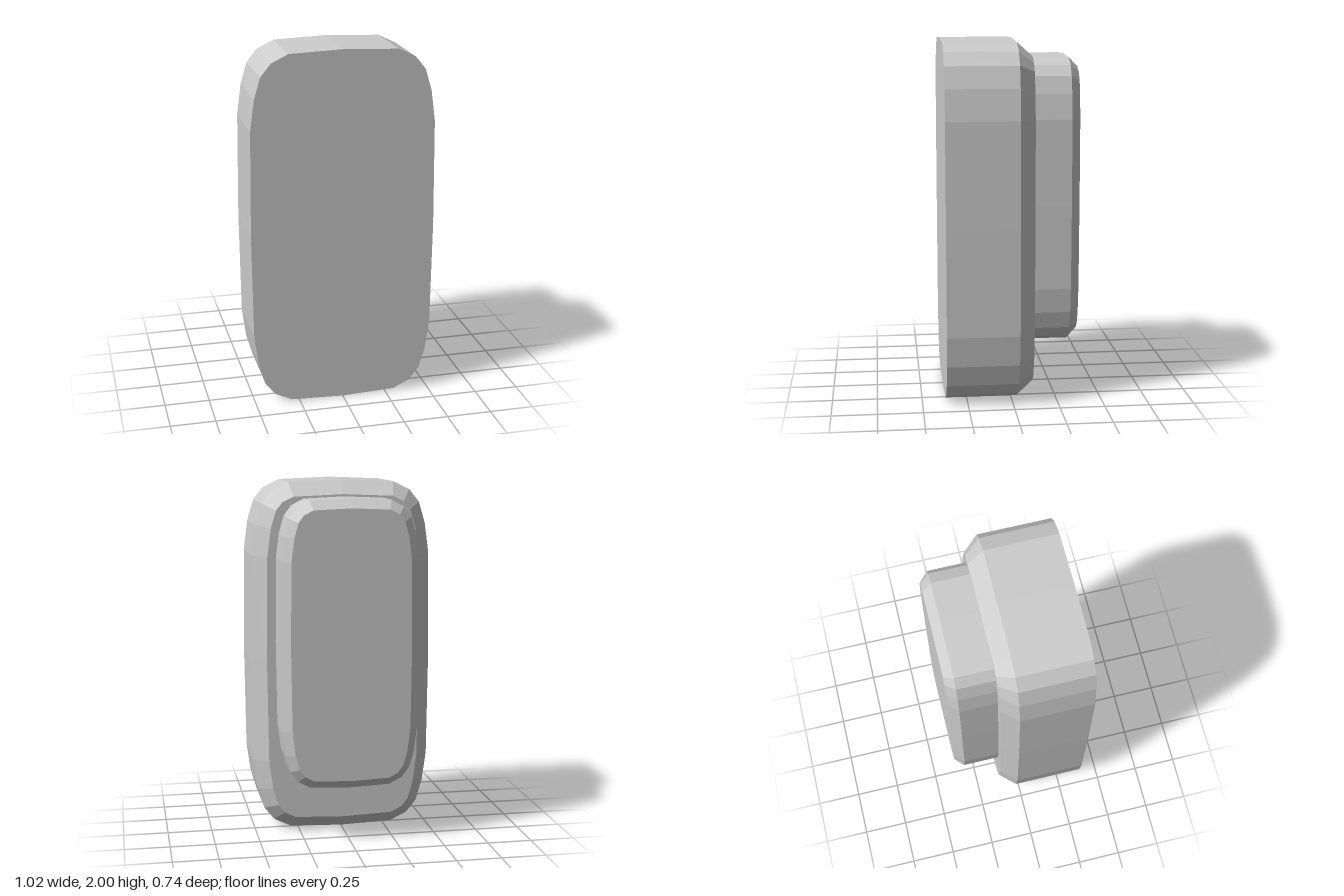
import * as THREE from 'three';

// One quarter of the rounded outline, from the side midpoint to the top midpoint
const QUARTER = [[0.512, 0], [0.505, 0.585], [0.482, 0.755], [0.447, 0.872], [0.39, 0.943], [0.297, 0.988], [0, 1]];

// Full counter-clockwise outline, scaled and mirrored around both axes
function outline(sx, sy) {
  const q = QUARTER.map(([x, y]) => new THREE.Vector2(x * sx, y * sy));
  const half = [...q, ...q.slice(0, -1).reverse().map((p) => new THREE.Vector2(-p.x, p.y))];
  return [...half, ...half.slice(1, -1).reverse().map((p) => new THREE.Vector2(p.x, -p.y))];
}

// Move every edge of the outline inwards by the same distance
function inset(points, d) {
  const n = points.length;
  const normal = (a, b) => new THREE.Vector2(b.y - a.y, a.x - b.x).normalize();
  return points.map((p, i) => {
    const n1 = normal(points[(i + n - 1) % n], p);
    const n2 = normal(p, points[(i + 1) % n]);
    return p.clone().addScaledVector(n1.clone().add(n2), -d / (1 + n1.dot(n2)));
  });
}

// Join rings ordered from front to back and close both ends
function loft(rings) {
  const pos = [];
  const tri = (...pts) => pts.forEach((p) => pos.push(p.x, p.y, p.z));
  const r = rings.map(({ points, z }) => points.map((p) => new THREE.Vector3(p.x, p.y, z)));
  const n = r[0].length;
  for (let k = 0; k < r.length - 1; k++) {
    for (let i = 0; i < n; i++) {
      const j = (i + 1) % n;
      tri(r[k][i], r[k + 1][i], r[k][j]);
      tri(r[k + 1][i], r[k + 1][j], r[k][j]);
    }
  }
  const front = r[0], back = r[r.length - 1];
  for (let i = 1; i < n - 1; i++) {
    tri(front[0], front[i], front[i + 1]);
    tri(back[0], back[i + 1], back[i]);
  }
  const geometry = new THREE.BufferGeometry();
  geometry.setAttribute('position', new THREE.Float32BufferAttribute(pos, 3));
  geometry.computeVertexNormals();
  return geometry;
}

// Rounded slab with a chamfer around its back edge
function slab(name, material, sx, sy, y, zFront, zEdge, zBack, chamfer) {
  const points = outline(sx, sy);
  const mesh = new THREE.Mesh(loft([
    { points, z: zFront },
    { points, z: zEdge },
    { points: inset(points, chamfer), z: zBack },
  ]), material);
  mesh.name = name;
  mesh.position.y = y;
  return mesh;
}

export function createModel() {
  const group = new THREE.Group();
  group.name = 'steppedHousing';
  const grey = new THREE.MeshStandardMaterial({ color: 0xcccccc });
  grey.name = 'light grey';
  grey.flatShading = true;

  // Large front body and the smaller raised block on its back
  group.add(slab('mainBody', grey, 1, 1, 1, 0.37, -0.03, -0.117, 0.078));
  group.add(slab('backBlock', grey, 0.75, 0.8, 1.11, -0.11, -0.322, -0.372, 0.05));
  return group;
}
